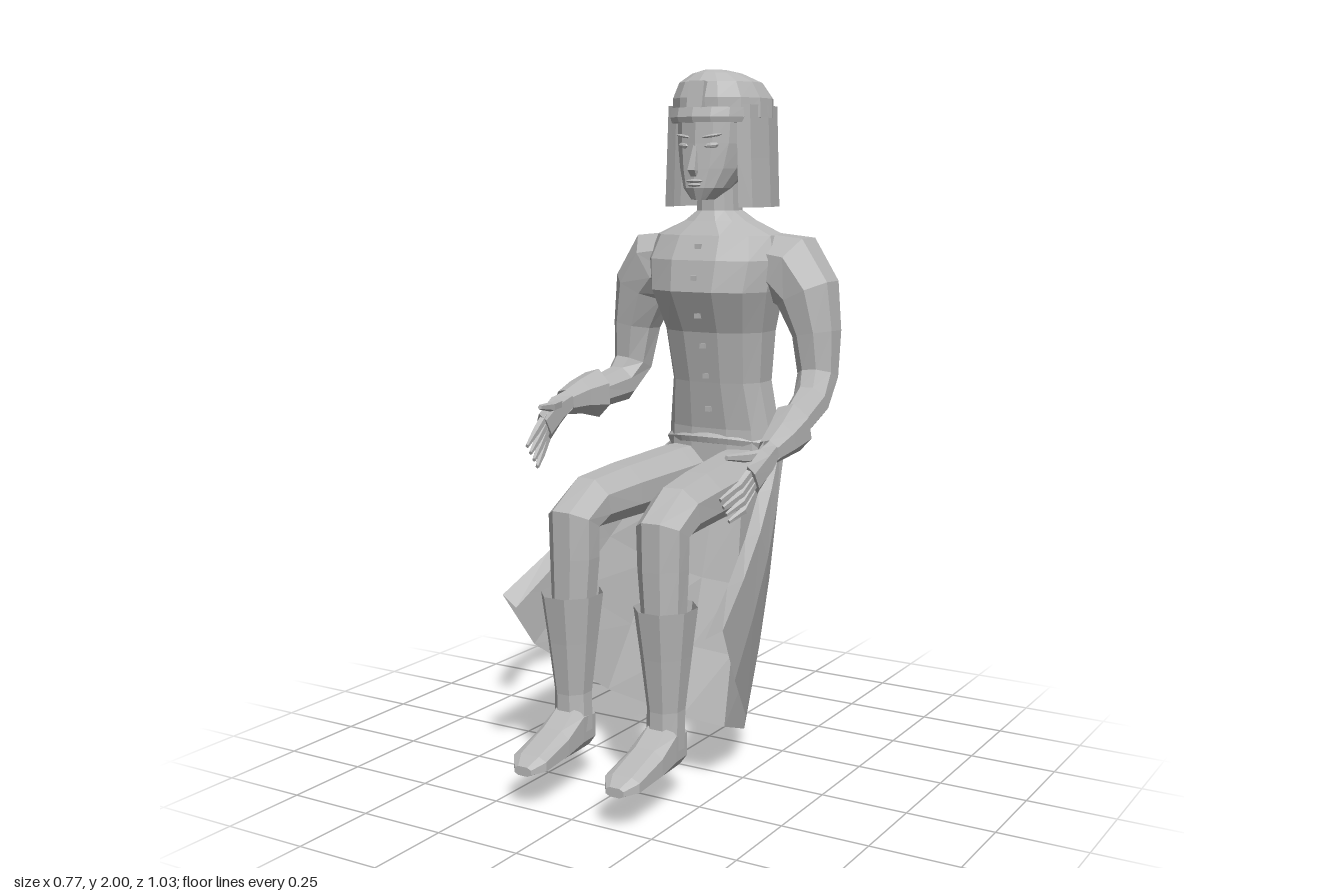
import * as THREE from 'three';

const grey = new THREE.MeshStandardMaterial({ color: 0xb8b8b8, flatShading: true, side: THREE.DoubleSide });
grey.name = 'plain grey';
const V = (x, y, z) => new THREE.Vector3(x, y, z);

function mesh(geo, name) {
  const m = new THREE.Mesh(geo, grey);
  m.name = name;
  return m;
}

// Surface through rows of points, optionally closed around and capped at the ends
function skin(rows, closed, capped) {
  const pos = [], n = rows[0].length;
  const tri = (...ps) => ps.forEach(p => pos.push(p.x, p.y, p.z));
  for (let i = 0; i < rows.length - 1; i++)
    for (let j = 0; j < (closed ? n : n - 1); j++) {
      const k = (j + 1) % n, a = rows[i], b = rows[i + 1];
      tri(a[j], a[k], b[k]);
      tri(a[j], b[k], b[j]);
    }
  if (capped) [rows[0], rows[rows.length - 1]].forEach((r, e) => {
    const c = r.reduce((s, p) => s.add(p), V(0, 0, 0)).divideScalar(n);
    r.forEach((p, j) => e ? tri(c, p, r[(j + 1) % n]) : tri(c, r[(j + 1) % n], p));
  });
  const g = new THREE.BufferGeometry();
  g.setAttribute('position', new THREE.Float32BufferAttribute(pos, 3));
  g.computeVertexNormals();
  return g;
}

// Limb through rings [x, y, z, sideRadius, depthRadius]; axis fixes the ring direction
function loft(rings, { n = 8, pow = 1, axis = null, capped = true } = {}) {
  const c = rings.map(r => V(r[0], r[1], r[2]));
  const sp = t => Math.sign(t) * Math.abs(t) ** pow;
  return skin(rings.map((r, i) => {
    const T = axis ? axis.clone()
      : c[Math.min(i + 1, c.length - 1)].clone().sub(c[Math.max(i - 1, 0)]).normalize();
    const B = V(1, 0, 0).addScaledVector(T, -T.x).normalize();
    const N = T.clone().cross(B);
    return Array.from({ length: n }, (_, j) => {
      const a = (j + 0.5) / n * Math.PI * 2;
      return c[i].clone().addScaledVector(B, sp(Math.cos(a)) * r[3] * 1.04)
        .addScaledVector(N, sp(Math.sin(a)) * r[4] * 1.04);
    });
  }), true, capped);
}

// Upright body through rows [y, frontZ, backZ, halfWidth]
const stack = (rows, opt) => loft(rows.map(([y, f, b, w]) => [0, y, (f + b) / 2, w, (f - b) / 2]),
  { n: 12, axis: V(0, 1, 0), ...opt });

function buildTorso(g) {
  g.add(mesh(stack([
    [0.77, -0.27, -0.38, 0.05], [0.84, -0.24, -0.43, 0.14], [0.9, -0.24, -0.44, 0.17],
    [0.96, -0.24, -0.43, 0.165], [1.1, -0.215, -0.425, 0.145], [1.25, -0.185, -0.43, 0.16],
    [1.37, -0.13, -0.44, 0.19], [1.46, -0.145, -0.45, 0.205], [1.53, -0.18, -0.43, 0.185],
    [1.57, -0.21, -0.4, 0.1], [1.6, -0.23, -0.37, 0.058], [1.7, -0.23, -0.36, 0.055],
  ], { pow: 0.8 }), 'torso'));
  // Buttons down the front
  [[1.5, -0.162], [1.41, -0.137], [1.3, -0.158], [1.21, -0.19], [1.12, -0.21], [1.02, -0.225]].forEach(([y, z]) => {
    const b = mesh(new THREE.BoxGeometry(0.016, 0.014, 0.02), 'button');
    b.position.set(0.008, y, z);
    g.add(b);
  });
  // Rolled belt, lower at the back
  const ring = Array.from({ length: 14 }, (_, i) => {
    const a = i / 14 * Math.PI * 2;
    return V(Math.cos(a) * 0.175, 0.905 + Math.sin(a) * 0.025, -0.345 + Math.sin(a) * 0.1);
  });
  g.add(mesh(new THREE.TubeGeometry(new THREE.CatmullRomCurve3(ring, true), 28, 0.018, 6, true), 'belt'));
}

function buildSkirt(g) {
  // Each column runs from the belt to the hem
  const half = [
    [V(0.165, 0.9, -0.3), V(0.305, 0.5, 0.32)], [V(0.185, 0.9, -0.34), V(0.355, 0.53, 0.315)],
    [V(0.18, 0.89, -0.38), V(0.33, 0.36, 0.2)], [V(0.14, 0.885, -0.42), V(0.235, 0.17, -0.045)],
    [V(0.07, 0.88, -0.45), V(0.11, 0.04, -0.27)],
  ];
  const flip = p => V(-p.x, p.y, p.z);
  const cols = [...half, [V(0, 0.88, -0.46), V(0, 0.003, -0.345)],
    ...half.map(c => c.map(flip)).reverse()];
  const rows = [0, 0.25, 0.5, 0.75, 1].map(t => cols.map(([a, b]) => {
    const p = a.clone().lerp(b, t), bulge = Math.sin(t * Math.PI) * 0.02;
    return p.add(V(Math.sign(p.x) * bulge * 0.6, 0, -bulge));
  }));
  g.add(mesh(skin(rows, false, false), 'openSkirt'));
}

function buildArm(s, lift) {
  const g = new THREE.Group();
  g.name = s > 0 ? 'leftArm' : 'rightArm';
  const side = rings => rings.map(([x, y, z, a, b]) => [s * x, y + lift * THREE.MathUtils.clamp((z + 0.3) / 0.3, 0, 1), z, a, b]);
  const add = (rings, name, opt) => g.add(mesh(loft(side(rings), opt), name));
  add([
    [0.14, 1.45, -0.33, 0.09, 0.1], [0.22, 1.435, -0.33, 0.108, 0.108], [0.275, 1.365, -0.33, 0.09, 0.098],
    [0.305, 1.25, -0.33, 0.066, 0.082], [0.315, 1.13, -0.32, 0.055, 0.066], [0.323, 1.06, -0.26, 0.05, 0.056],
    [0.33, 1.0, -0.12, 0.04, 0.045], [0.335, 0.965, 0, 0.028, 0.032],
  ], 'sleeve');
  add([[0.33, 1.005, -0.13, 0.057, 0.072], [0.335, 0.98, -0.05, 0.046, 0.052], [0.335, 0.957, 0.025, 0.033, 0.036]],
    'cuff', { n: 7, capped: false });
  add([[0.335, 0.962, 0, 0.022, 0.03], [0.342, 0.935, 0.06, 0.022, 0.045], [0.338, 0.895, 0.125, 0.017, 0.048]],
    'palm', { n: 6 });
  // Four fingers fanned in height, and a thumb
  for (let i = 0; i < 4; i++)
    add([[0.338, 0.932 - i * 0.023, 0.115, 0.011, 0.014], [0.33, 0.89 - i * 0.024, 0.18 - i * 0.008, 0.01, 0.012],
      [0.31, 0.86 - i * 0.022, 0.25 - i * 0.016, 0.005, 0.006]], 'finger', { n: 5 });
  add([[0.335, 0.955, 0.05, 0.013, 0.015], [0.315, 0.955, 0.12, 0.012, 0.014], [0.3, 0.965, 0.2, 0.006, 0.007]],
    'thumb', { n: 5 });
  return g;
}

function buildLeg(s) {
  const g = new THREE.Group();
  g.name = s > 0 ? 'leftLeg' : 'rightLeg';
  const add = (rings, name, opt) => g.add(mesh(loft(rings.map(([x, ...r]) => [s * x, ...r]), opt), name));
  add([
    [0.085, 0.835, -0.36, 0.08, 0.07], [0.1, 0.82, -0.2, 0.082, 0.085], [0.125, 0.81, 0.05, 0.08, 0.078],
    [0.14, 0.8, 0.19, 0.073, 0.073], [0.143, 0.76, 0.265, 0.07, 0.075], [0.143, 0.66, 0.263, 0.068, 0.066],
    [0.147, 0.5, 0.265, 0.058, 0.06],
  ], 'thighAndKnee');
  add([
    [0.152, 0.555, 0.265, 0.083, 0.092], [0.152, 0.42, 0.263, 0.067, 0.073],
    [0.152, 0.27, 0.262, 0.05, 0.054], [0.15, 0.16, 0.265, 0.052, 0.05],
  ], 'boot', { axis: V(0, -1, 0), capped: false });
  add([
    [0.15, 0.165, 0.222, 0.045, 0.062], [0.15, 0.17, 0.29, 0.052, 0.068], [0.15, 0.145, 0.37, 0.056, 0.043],
    [0.148, 0.125, 0.48, 0.055, 0.024], [0.147, 0.114, 0.516, 0.028, 0.013],
  ], 'foot', { axis: V(0, 0, 1), pow: 0.7 });
  return g;
}

function buildHead() {
  const g = new THREE.Group();
  g.name = 'head';
  g.add(mesh(stack([
    [1.632, -0.16, -0.24, 0.028], [1.665, -0.148, -0.31, 0.06], [1.72, -0.152, -0.39, 0.085],
    [1.79, -0.157, -0.42, 0.1], [1.87, -0.16, -0.43, 0.105], [1.94, -0.19, -0.41, 0.09],
  ], { n: 14, pow: 0.9 }), 'face'));
  g.add(mesh(loft([[0, 1.79, -0.16, 0.007, 0.008], [0, 1.715, -0.142, 0.016, 0.018], [0, 1.702, -0.15, 0.012, 0.01]],
    { n: 4 }), 'nose'));
  // Lips, eyes and brows
  const feature = (x, y, z, w, h, name, tilt = 0) => {
    const m = mesh(new THREE.SphereGeometry(1, 8, 4), name);
    m.scale.set(w, h, 0.008);
    m.position.set(x, y, z);
    m.rotation.set(0, x * 7, tilt);
    g.add(m);
  };
  feature(0, 1.685, -0.148, 0.028, 0.006, 'upperLip');
  feature(0, 1.674, -0.148, 0.022, 0.006, 'lowerLip');
  for (const s of [-1, 1]) {
    feature(s * 0.045, 1.785, -0.166, 0.023, 0.009, 'eye', s * 0.1);
    feature(s * 0.047, 1.812, -0.166, 0.03, 0.005, 'brow', s * 0.15);
  }
  // Hair: crown, swept-back peak, and a long straight curtain open at the face
  g.add(mesh(stack([
    [1.865, -0.165, -0.468, 0.14], [1.92, -0.162, -0.475, 0.137], [1.965, -0.178, -0.43, 0.115],
    [1.99, -0.205, -0.36, 0.07], [2.0, -0.23, -0.31, 0.03],
  ], { n: 14 }), 'hairCrown'));
  g.add(mesh(loft([[0, 1.94, -0.36, 0.105, 0.045], [0, 1.92, -0.45, 0.07, 0.03], [0, 1.913, -0.515, 0.004, 0.004]]), 'hairPeak'));
  const half = [[0.102, -0.215], [0.138, -0.23], [0.145, -0.33], [0.128, -0.42], [0.07, -0.463]];
  const outline = [...half, [0, -0.468], ...half.map(([x, z]) => [-x, z]).reverse()];
  g.add(mesh(skin([1.9, 1.75, 1.61].map((y, i) => outline.map(([x, z]) => V(x * (0.97 + i * 0.04), y, z))), false, false),
    'hairCurtain'));
  // Headband with a raised centre strip
  g.add(mesh(stack([[1.85, -0.142, -0.36, 0.115], [1.865, -0.137, -0.36, 0.118], [1.892, -0.145, -0.36, 0.118]], { n: 14 }), 'headband'));
  const strip = mesh(new THREE.BoxGeometry(0.05, 0.08, 0.02), 'centreStrip');
  strip.position.set(0, 1.925, -0.162);
  strip.rotation.x = -0.2;
  g.add(strip);
  return g;
}

export function createModel() {
  const model = new THREE.Group();
  model.name = 'seatedFigure';
  buildTorso(model);
  buildSkirt(model);
  model.add(buildArm(1, 0), buildArm(-1, 0.09), buildLeg(1), buildLeg(-1), buildHead());
  return model;
}
